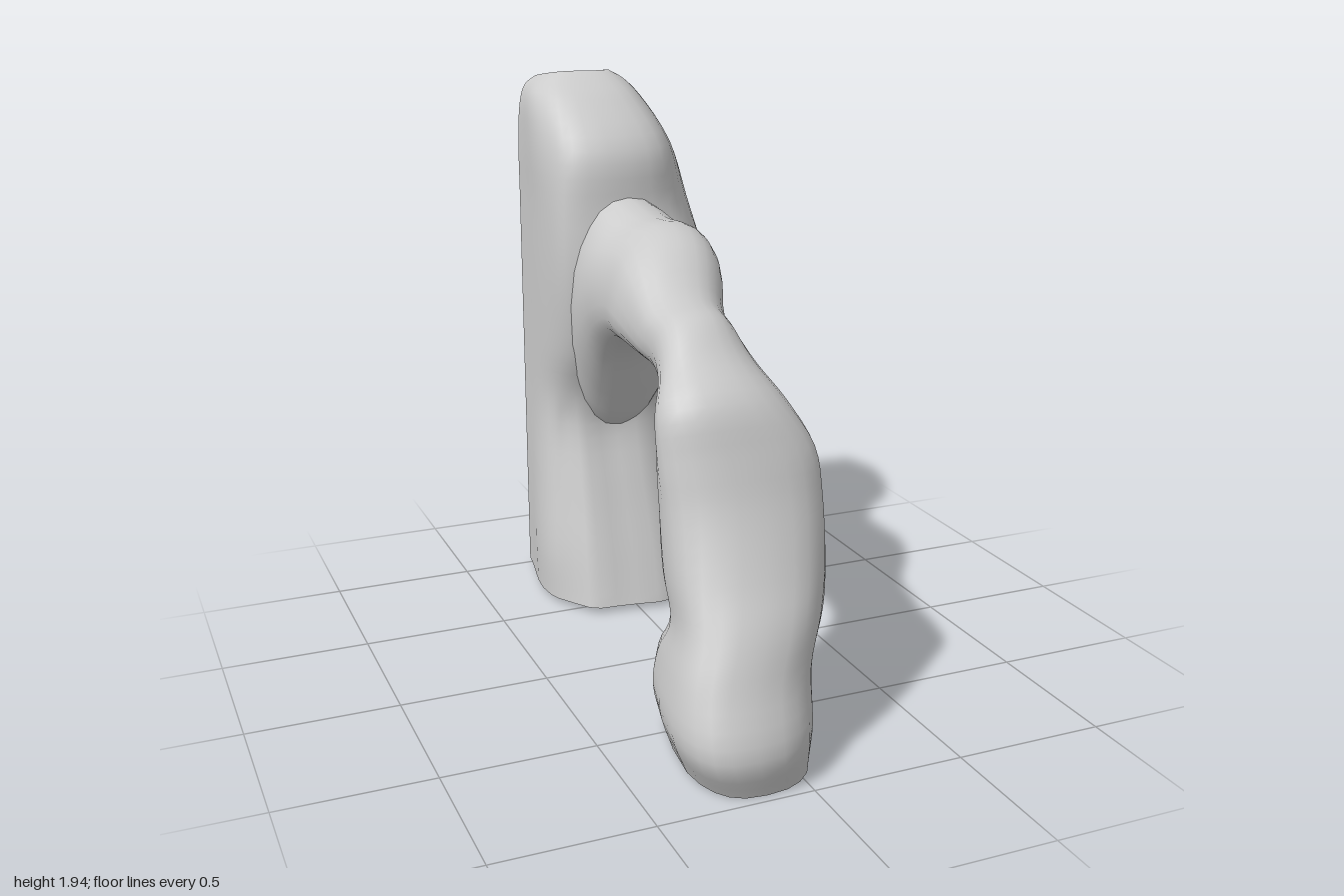
import * as THREE from 'three';
import { toCreasedNormals } from 'three/addons/utils/BufferGeometryUtils.js';

const rock = new THREE.MeshStandardMaterial({ color: 0xcccccc });
const pow = (v, p) => Math.sign(v) * Math.abs(v) ** p;

// Skin through rings of points (anticlockwise seen from the far end), smoothed lengthwise, capped.
function loft(name, rings, steps, crease) {
  const n = rings[0].length, rows = (rings.length - 1) * steps;
  const columns = rings[0].map((_, i) => new THREE.CatmullRomCurve3(rings.map(r => r[i]), false, 'centripetal'));
  const pos = [], index = [];
  for (let j = 0; j <= rows; j++) {
    for (const c of columns) pos.push(...c.getPoint(j / rows).toArray());
  }
  for (let j = 0; j < rows; j++) {
    for (let i = 0; i < n; i++) {
      const a = j * n + i, b = j * n + (i + 1) % n;
      index.push(a, b, b + n, a, b + n, a + n);
    }
  }
  [rings[0], rings[rings.length - 1]].forEach((ring, end) => {
    const mid = ring.reduce((s, p) => s.add(p), new THREE.Vector3()).divideScalar(n);
    const m = pos.length / 3, start = end * rows * n;
    pos.push(mid.x, mid.y, mid.z);
    for (let i = 0; i < n; i++) {
      const a = start + i, b = start + (i + 1) % n;
      if (end) index.push(m, a, b); else index.push(m, b, a);
    }
  });
  const g = new THREE.BufferGeometry();
  g.setAttribute('position', new THREE.Float32BufferAttribute(pos, 3));
  g.setIndex(index);
  const mesh = new THREE.Mesh(toCreasedNormals(g, crease), rock);
  mesh.name = name;
  return mesh;
}

// Pillar levels: y, back edge x from and to, then x, z of four corners round the front
const pillarLevels = [
  [0.03, -0.24, 0.30, -0.28, -0.62, -0.15, -0.43, 0.20, -0.44, 0.31, -0.72],
  [0.20, -0.24, 0.31, -0.28, -0.63, -0.14, -0.48, 0.20, -0.49, 0.32, -0.72],
  [0.45, -0.24, 0.31, -0.26, -0.68, -0.13, -0.56, 0.18, -0.56, 0.30, -0.74],
  [0.68, -0.24, 0.31, -0.24, -0.72, -0.13, -0.62, 0.17, -0.60, 0.31, -0.75],
  [0.80, -0.24, 0.28, -0.24, -0.72, -0.14, -0.60, 0.17, -0.58, 0.28, -0.74],
  [0.98, -0.24, 0.31, -0.25, -0.68, -0.18, -0.53, 0.23, -0.50, 0.34, -0.72],
  [1.25, -0.24, 0.33, -0.26, -0.65, -0.21, -0.49, 0.23, -0.44, 0.37, -0.72],
  [1.50, -0.24, 0.28, -0.26, -0.63, -0.21, -0.50, 0.15, -0.49, 0.31, -0.72],
  [1.70, -0.24, 0.22, -0.26, -0.68, -0.19, -0.53, 0.13, -0.52, 0.25, -0.75],
  [1.86, -0.23, 0.15, -0.24, -0.78, -0.17, -0.67, 0.08, -0.66, 0.16, -0.80],
  [1.92, -0.21, 0.09, -0.20, -0.85, -0.15, -0.76, 0.05, -0.74, 0.11, -0.84],
  [1.95, -0.17, 0.05, -0.16, -0.88, -0.12, -0.81, 0.03, -0.79, 0.06, -0.85]
];

// Flat back, rounded front
function pillarRing([y, left, right, ...front]) {
  const back = x => new THREE.Vector3(x, y, -1 + (x + 0.24) * 0.085);
  const points = [back(left)];
  for (let i = 0; i < front.length; i += 2) points.push(new THREE.Vector3(front[i], y, front[i + 1]));
  points.push(back(right));
  const ring = new THREE.CatmullRomCurve3(points, false, 'centripetal').getPoints(25);
  ring.forEach((p, i) => {
    // shallow vertical grooves near the ground, and a crown dipping toward the back
    if (y < 0.7) p.z += 0.012 * Math.sin(i * 1.5) * Math.sin(Math.PI * i / 25);
    if (y > 1.6) p.y -= 0.15 * Math.max(0, -0.8 - p.z);
  });
  return ring;
}

// Arch sections: outer z, y; inner z, y; centre x; half width; x shift toward the outer side
const archSections = [
  [0.97, 0.01, 0.28, 0.03, -0.09, 0.20, -0.05],
  [1.00, 0.14, 0.28, 0.20, -0.10, 0.24, -0.08],
  [0.93, 0.32, 0.33, 0.29, -0.09, 0.24, -0.07],
  [0.87, 0.47, 0.45, 0.42, -0.07, 0.24, -0.03],
  [0.80, 0.60, 0.42, 0.55, -0.06, 0.25, 0],
  [0.71, 0.80, 0.40, 0.75, -0.05, 0.25, 0.02],
  [0.66, 0.95, 0.38, 0.87, -0.045, 0.25, 0],
  [0.60, 1.10, 0.33, 0.98, -0.06, 0.22, -0.05],
  [0.46, 1.21, 0.26, 1.04, -0.06, 0.17, -0.05],
  [0.34, 1.30, 0.17, 1.08, -0.07, 0.145, -0.02],
  [0.20, 1.33, 0.08, 1.10, -0.07, 0.15, 0],
  [0.00, 1.46, -0.05, 1.12, -0.05, 0.18, 0.04],
  [-0.15, 1.50, -0.20, 1.10, -0.03, 0.18, 0.05],
  [-0.32, 1.50, -0.35, 1.01, -0.02, 0.19, 0.03],
  [-0.47, 1.54, -0.50, 0.80, -0.01, 0.20, 0],
  [-0.64, 1.54, -0.62, 0.66, 0, 0.18, 0],
  [-0.80, 1.45, -0.80, 0.70, 0, 0.12, 0]
];

function archRing([oz, oy, iz, iy, cx, half, shift], k) {
  const n = 24, ring = [];
  for (let i = 0; i < n; i++) {
    const t = 2 * Math.PI * i / n;
    // blocky foot, squarish leg, rounder span
    const c = pow(Math.cos(t), k < 3 ? 0.65 : 0.85), s = pow(Math.sin(t), k < 7 ? 0.8 : 0.9);
    // gentle weathered lumps, held back at the ends of the section
    const lump = 1 + 0.04 * Math.sin(3 * t + k * 0.9) * Math.abs(s);
    ring.push(new THREE.Vector3(
      cx + shift * c + half * s * lump,
      (oy + iy) / 2 + c * (oy - iy) / 2,
      (oz + iz) / 2 + c * (oz - iz) / 2
    ));
  }
  return ring;
}

export function createModel() {
  const group = new THREE.Group();
  group.name = 'rockArch';
  group.add(
    loft('cliffPillar', pillarLevels.map(pillarRing), 4, 0.7),
    loft('archAndFoot', archSections.map(archRing), 4, 0.8)
  );
  return group;
}
